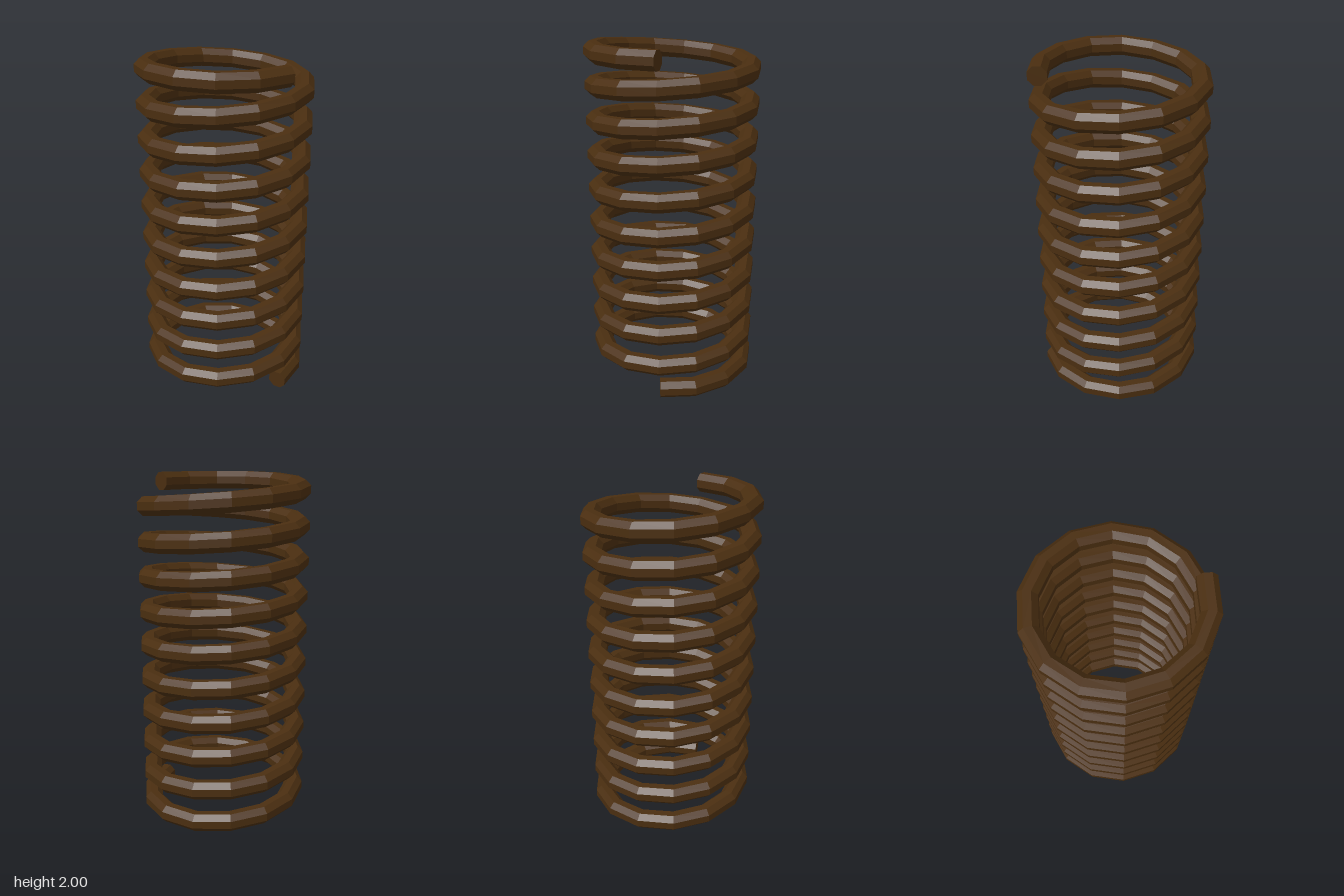
import * as THREE from 'three';

const TURNS = 10, STEPS = 14, SIDES = 8; // coils, segments per coil, wire sides
const COIL_RADIUS = 0.4425, WIRE = 0.0525, PITCH = 0.2;

// Helical wire with flat-levelled ends and closed caps
function coilGeometry() {
  const positions = [], index = [];
  const last = TURNS * STEPS;
  const wireRadius = WIRE / Math.cos(Math.PI / SIDES);

  for (let i = 0; i <= last; i++) {
    const angle = (i / STEPS) * Math.PI * 2;
    const y = THREE.MathUtils.clamp((i / STEPS) * PITCH, WIRE, 2 - WIRE);
    // end rings are cut square to their own segment
    const turn = i === 0 ? Math.PI / STEPS : i === last ? -Math.PI / STEPS : 0;
    const rx = Math.cos(angle + turn), rz = -Math.sin(angle + turn);
    for (let j = 0; j < SIDES; j++) {
      const a = ((j + 0.5) / SIDES) * Math.PI * 2;
      const out = wireRadius * Math.cos(a);
      positions.push(
        COIL_RADIUS * Math.cos(angle) + rx * out,
        y + wireRadius * Math.sin(a),
        -COIL_RADIUS * Math.sin(angle) + rz * out
      );
    }
  }

  // wire walls
  for (let i = 0; i < last; i++) {
    for (let j = 0; j < SIDES; j++) {
      const k = (j + 1) % SIDES;
      const a = i * SIDES + j, b = i * SIDES + k;
      index.push(a, a + SIDES, b, b, a + SIDES, b + SIDES);
    }
  }

  // end caps
  const end = last * SIDES;
  for (let j = 1; j < SIDES - 1; j++) {
    index.push(0, j, j + 1);
    index.push(end, end + j + 1, end + j);
  }

  const geometry = new THREE.BufferGeometry();
  geometry.setAttribute('position', new THREE.Float32BufferAttribute(positions, 3));
  geometry.setIndex(index);
  const flat = geometry.toNonIndexed();
  flat.computeVertexNormals();
  return flat;
}

export function createModel() {
  const group = new THREE.Group();
  group.name = 'coilSpring';
  const brown = new THREE.MeshStandardMaterial({ color: 0x4a2e10, flatShading: true });
  brown.name = 'dark brown';

  const coil = new THREE.Mesh(coilGeometry(), brown);
  coil.name = 'springCoil';
  group.add(coil);
  return group;
}
